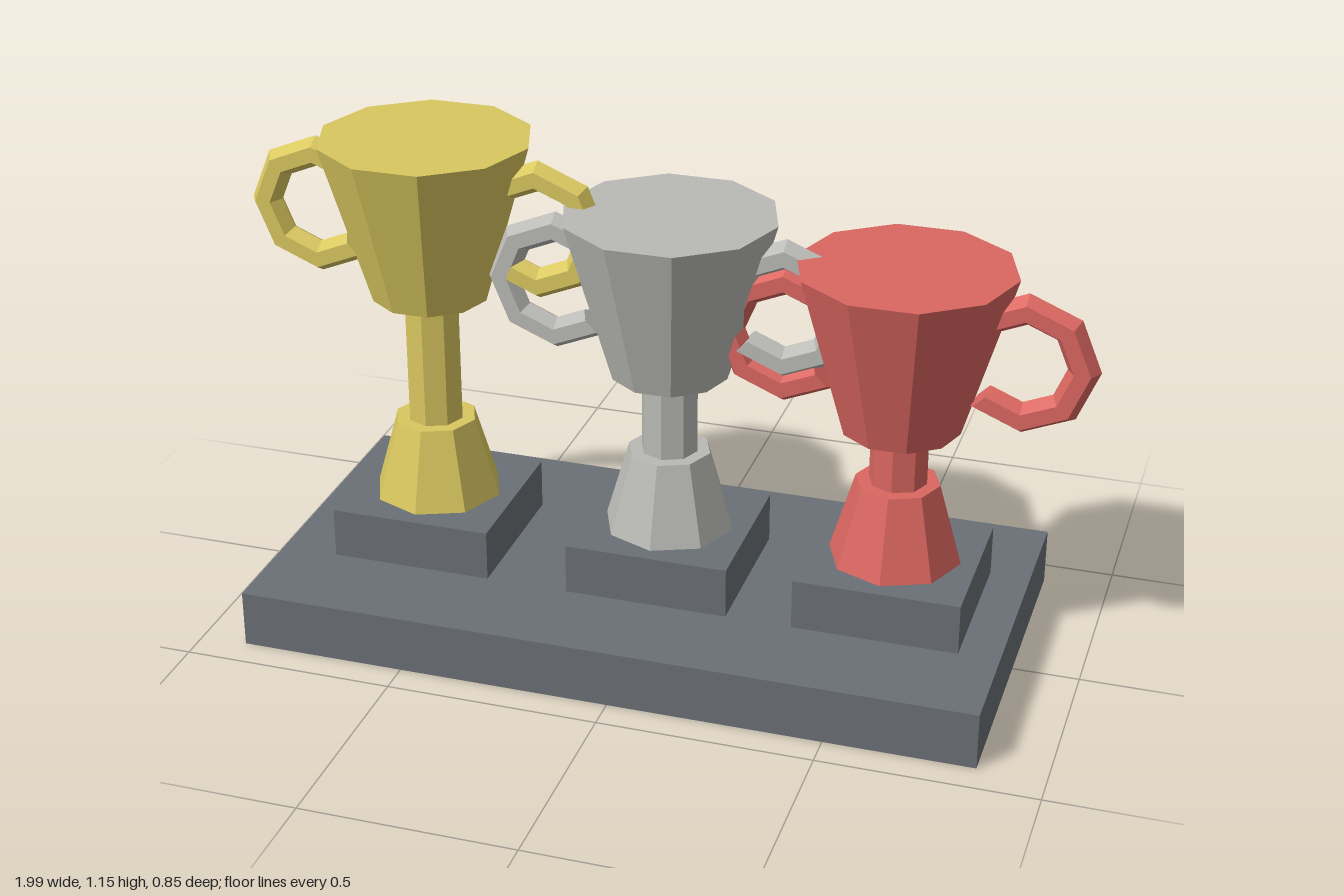
import * as THREE from 'three';

const paint = (name, color) => {
  const m = new THREE.MeshStandardMaterial({ color, flatShading: true });
  m.name = name;
  return m;
};

export function createModel() {
  const slate = paint('slate', 0x6a7076);
  const gold = paint('gold', 0xd9c75f);
  const silver = paint('silver', 0xb9b9b5);
  const red = paint('red', 0xda6660);

  const model = new THREE.Group();
  model.name = 'trophyDisplay';

  const add = (parent, name, geometry, material, x, y, z = 0) => {
    const mesh = new THREE.Mesh(geometry, material);
    mesh.name = name;
    mesh.position.set(x, y, z);
    parent.add(mesh);
    return mesh;
  };

  // Tapered prism standing between two heights
  const prism = (parent, name, rTop, rBottom, y0, y1, sides, material) =>
    add(parent, name,
      new THREE.CylinderGeometry(rTop, rBottom, y1 - y0, sides, 1, false, Math.PI / 2),
      material, 0, (y0 + y1) / 2);

  // Ring handle, open where it enters the cup, with capped ends
  const RING = 0.13, TUBE = 0.037;
  const handle = (parent, name, side, y, material) => {
    const group = new THREE.Group();
    group.name = name;
    group.position.set(side * 0.27, y, 0);
    if (side < 0) group.rotation.y = Math.PI;
    const ring = add(group, 'ring', new THREE.TorusGeometry(RING, TUBE, 6, 6, Math.PI * 1.5), material, 0, 0);
    ring.rotation.z = -Math.PI * 0.75;
    for (const end of [-1, 1]) {
      const a = end * Math.PI * 0.75;
      const cap = new THREE.CircleGeometry(TUBE, 6);
      cap.rotateX(-end * Math.PI / 2);
      cap.rotateZ(a);
      add(group, 'ringEnd', cap, material, RING * Math.cos(a), RING * Math.sin(a));
    }
    parent.add(group);
  };

  // Plinth
  add(model, 'plinth', new THREE.BoxGeometry(1.735, 0.135, 0.85), slate, -0.0225, 0.0675);

  // Three trophies of falling height, each on its own block
  const trophies = [
    ['goldTrophy', -0.5625, 0.76, gold],
    ['silverTrophy', 0.0175, 0.642, silver],
    ['redTrophy', 0.5575, 0.583, red],
  ];
  for (const [name, x, cupY, material] of trophies) {
    const trophy = new THREE.Group();
    trophy.name = name;
    trophy.position.x = x;
    add(trophy, 'block', new THREE.BoxGeometry(0.385, 0.12, 0.382), slate, 0, 0.195);
    prism(trophy, 'foot', 0.098, 0.154, 0.255, 0.447, 8, material);
    prism(trophy, 'stem', 0.067, 0.067, 0.447, cupY, 8, material);
    prism(trophy, 'cup', 0.249, 0.137, cupY, cupY + 0.386, 10, material);
    handle(trophy, 'leftHandle', 1, cupY + 0.193, material);
    handle(trophy, 'rightHandle', -1, cupY + 0.193, material);
    model.add(trophy);
  }
  return model;
}
